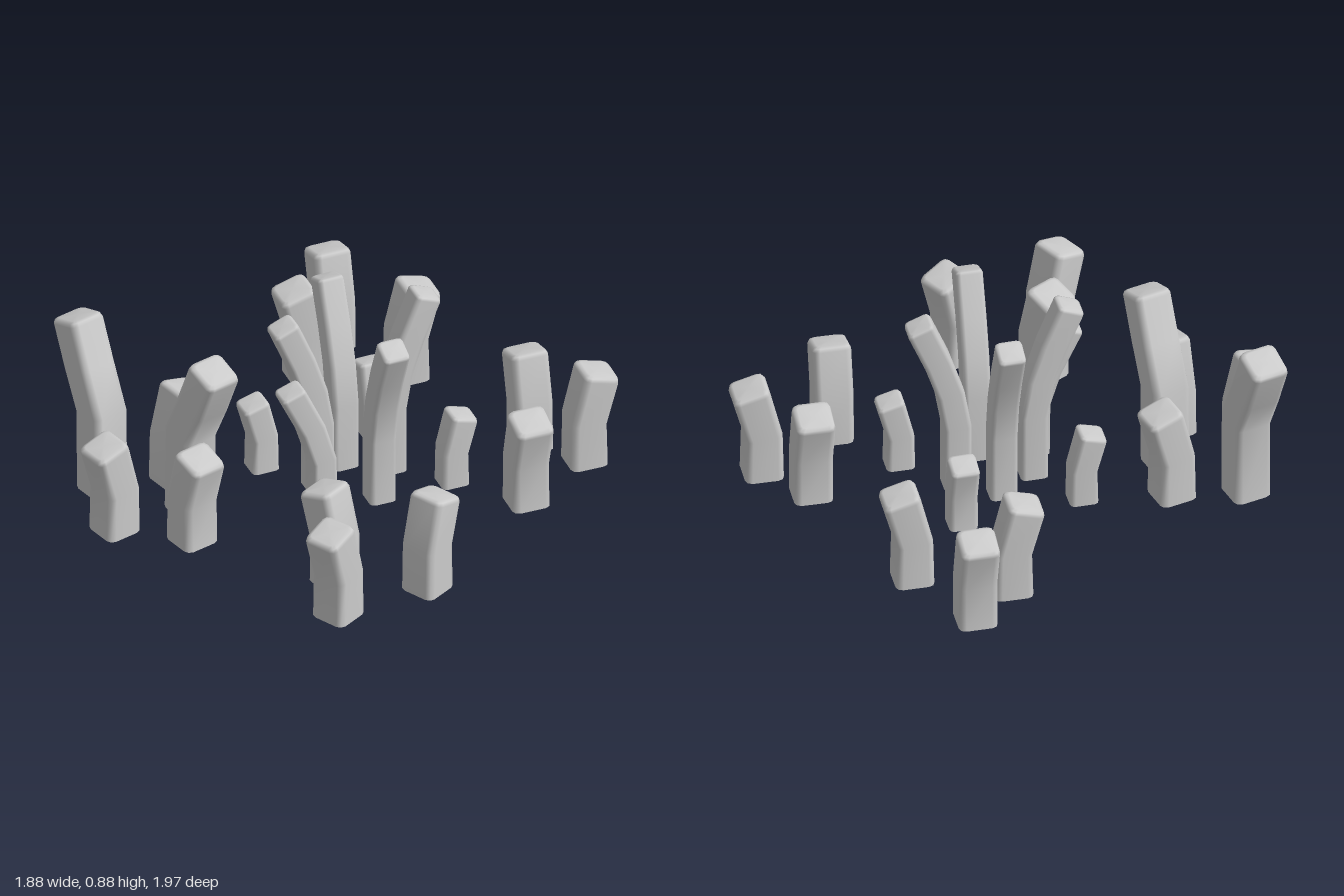
import * as THREE from 'three';

const material = new THREE.MeshStandardMaterial({ color: 0xcccccc, side: THREE.DoubleSide });
const rad = THREE.MathUtils.degToRad;

// Stalk kinds: width and stations [lean offset, height, tilt in degrees, depth scale]
const KINDS = {
  short: { width: 0.17, stations: [[0, 0, 0, 1], [0, 0.22, 6, 0.94], [0.06, 0.452, 16, 0.97]] },
  tiny: { width: 0.125, stations: [[0, 0, 0, 1], [0, 0.165, 6, 0.94], [0.045, 0.34, 16, 0.97]] },
  medium: { width: 0.115, stations: [[0, 0, 0, 1], [0.005, 0.26, 6, 0.97], [0.055, 0.43, 16, 0.98], [0.15, 0.64, 19, 1]] },
  tall: { width: 0.17, stations: [[0, 0, 0, 1], [0.005, 0.4, 10, 1], [0.09, 0.59, 22, 1], [0.175, 0.802, 19, 1]] },
  tallest: { width: 0.12, stations: [[0, 0, 0, 1], [0, 0.32, 3, 1], [0.03, 0.5, 11, 1], [0.085, 0.67, 18, 1], [0.165, 0.866, 22, 1]] },
};

// Rounded square outline of half size h and corner radius r
function outline(h, r) {
  const pts = [];
  for (let c = 0; c < 4; c++) {
    const mid = Math.PI / 4 + c * Math.PI / 2;
    const cx = Math.sign(Math.cos(mid)) * (h - r);
    const cz = Math.sign(Math.sin(mid)) * (h - r);
    for (let k = -1; k <= 1; k++) {
      const a = mid + k * Math.PI / 4;
      pts.push([cx + Math.cos(a) * r, cz + Math.sin(a) * r]);
    }
  }
  return pts;
}

// Bent stalk leaning toward +x, open at the foot, with a softly rounded cap
function stalkGeometry({ width, stations }) {
  const bevel = width * 0.13;
  const last = stations[stations.length - 1];
  const rings = stations.slice(0, -1).map(s => ({ s, drop: 0, inset: 0 }));
  rings.push(
    { s: last, drop: bevel, inset: 0 },
    { s: last, drop: bevel * 0.3, inset: bevel * 0.3 },
    { s: last, drop: 0, inset: bevel },
  );
  const positions = [], index = [];
  for (const { s: [x, y, tilt, depth], drop, inset } of rings) {
    const c = Math.cos(rad(tilt)), n = Math.sin(rad(tilt));
    for (const [u, w] of outline(width / 2 - inset, width * 0.17 - inset * 0.5)) {
      positions.push(x + u * depth * c - drop * n, y - u * depth * n - drop * c, w);
    }
  }
  const N = 12, R = rings.length;
  for (let r = 0; r < R - 1; r++) {
    for (let i = 0; i < N; i++) {
      const j = (i + 1) % N;
      const a = r * N + i, c = r * N + j;
      index.push(a, a + N, c, c, a + N, c + N);
    }
  }
  // Cap fan
  positions.push(last[0], last[1], 0);
  const top = (R - 1) * N;
  for (let i = 0; i < N; i++) index.push(R * N, top + (i + 1) % N, top + i);

  const g = new THREE.BufferGeometry();
  g.setAttribute('position', new THREE.Float32BufferAttribute(positions, 3));
  g.setIndex(index);
  // Centre the footprint on the lean axis
  g.translate(-last[0] / 2, 0, 0);
  g.computeVertexNormals();
  return g;
}

export function createModel() {
  const model = new THREE.Group();
  model.name = 'stalkPatch';
  const geometries = {};
  for (const kind in KINDS) geometries[kind] = stalkGeometry(KINDS[kind]);

  // Each stalk: [kind, x, z, lean direction in degrees from +x toward +z]
  function clump(name, x, z, turn, stalks) {
    const group = new THREE.Group();
    group.name = name;
    group.position.set(x, 0, z);
    group.rotation.y = -rad(turn);
    for (const [kind, sx, sz, lean] of stalks) {
      const mesh = new THREE.Mesh(geometries[kind], material);
      mesh.name = kind + 'Stalk';
      mesh.position.set(sx, 0, sz);
      mesh.rotation.y = -rad(lean);
      group.add(mesh);
    }
    model.add(group);
  }

  // Three matching clumps of short stalks
  const trio = [['short', 0, 0, 180], ['short', 0.205, 0.225, 90], ['short', 0.375, -0.23, -90]];
  clump('frontLeftClump', 0.48, 0.545, 0, trio);
  clump('backLeftClump', 0.795, -0.845, 120, trio);
  clump('backRightClump', -0.635, -0.845, 29, trio);

  // Mixed clump
  clump('frontRightClump', 0, 0, 0, [
    ['short', -0.49, 0.357, -76],
    ['short', -0.122, 0.702, 14],
    ['short', -0.465, 0.87, 104],
    ['tall', -0.775, 0.615, 194],
    ['tall', -0.222, 0.537, 14],
  ]);

  // Tall centre clump
  clump('centreClump', 0, 0, 0, [
    ['tallest', -0.083, -0.19, 208],
    ['tallest', 0.21, -0.325, -61],
    ['tallest', 0.345, -0.012, 29],
    ['tallest', -0.027, 0.115, 118],
    ['medium', 0.094, 0.225, 118],
    ['tiny', -0.077, -0.433, 208],
    ['tiny', 0.45, -0.36, -61],
    ['tiny', -0.275, 0.1, 118],
  ]);
  return model;
}
